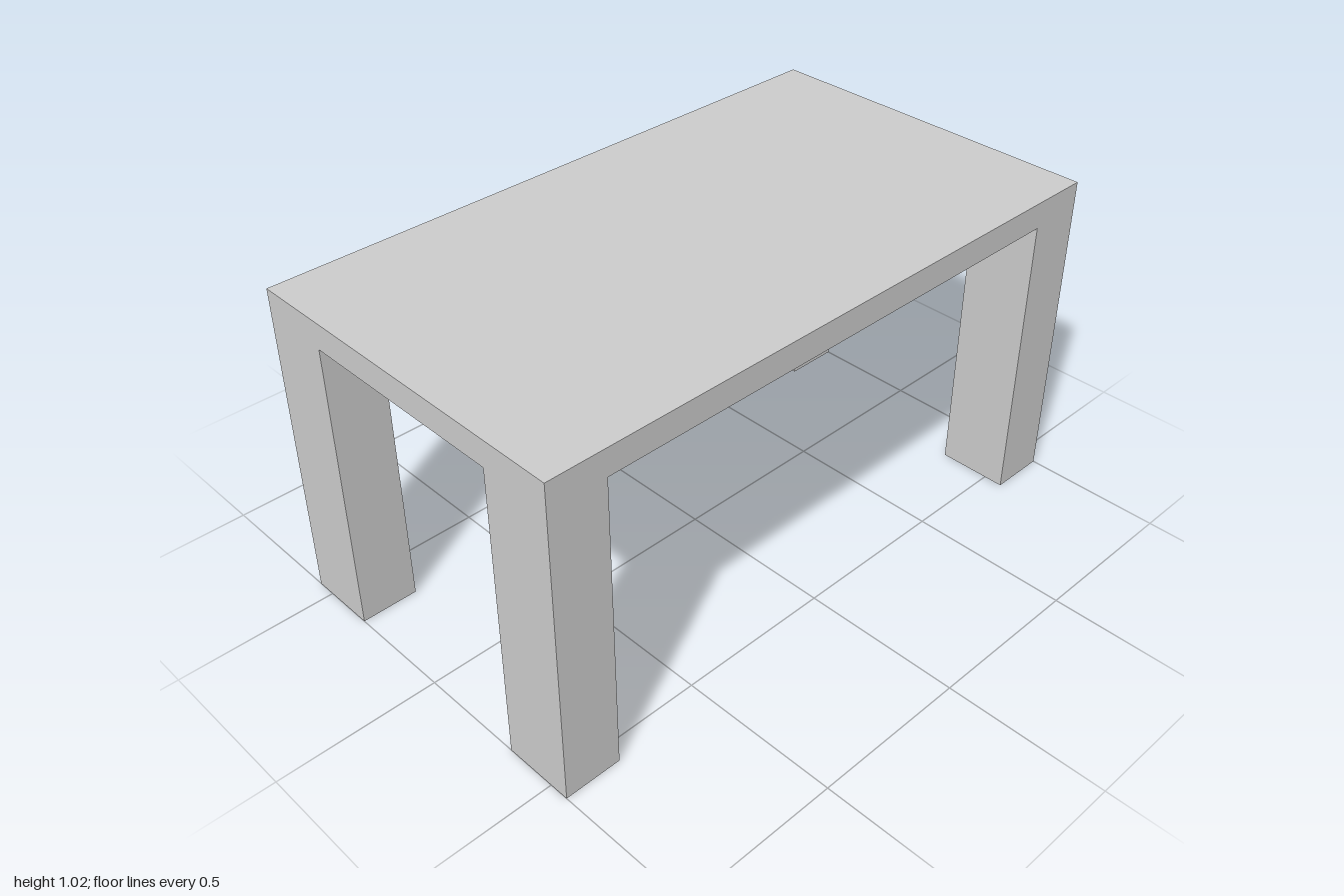
import * as THREE from 'three';

export function createModel() {
  const model = new THREE.Group();
  const material = new THREE.MeshStandardMaterial({ color: 0xcccccc, flatShading: true });

  const width = 1.122, length = 2, height = 1.022, thickness = 0.083;
  const legWidth = 0.224, legDepth = 0.18, legHeight = height - thickness;

  function addBox(name, w, h, d, x, y, z) {
    const mesh = new THREE.Mesh(new THREE.BoxGeometry(w, h, d), material);
    mesh.name = name;
    mesh.position.set(x, y, z);
    model.add(mesh);
  }

  // Flat slab on top
  addBox('tableTop', width, thickness, length, 0, height - thickness / 2, 0);

  // Four legs, flush with the corners of the slab
  for (const [side, sx] of [['Left', 1], ['Right', -1]]) {
    for (const [end, sz] of [['front', 1], ['back', -1]]) {
      addBox(`${end}${side}Leg`, legWidth, legHeight, legDepth,
        sx * (width - legWidth) / 2, legHeight / 2, sz * (length - legDepth) / 2);
    }
  }

  return model;
}
